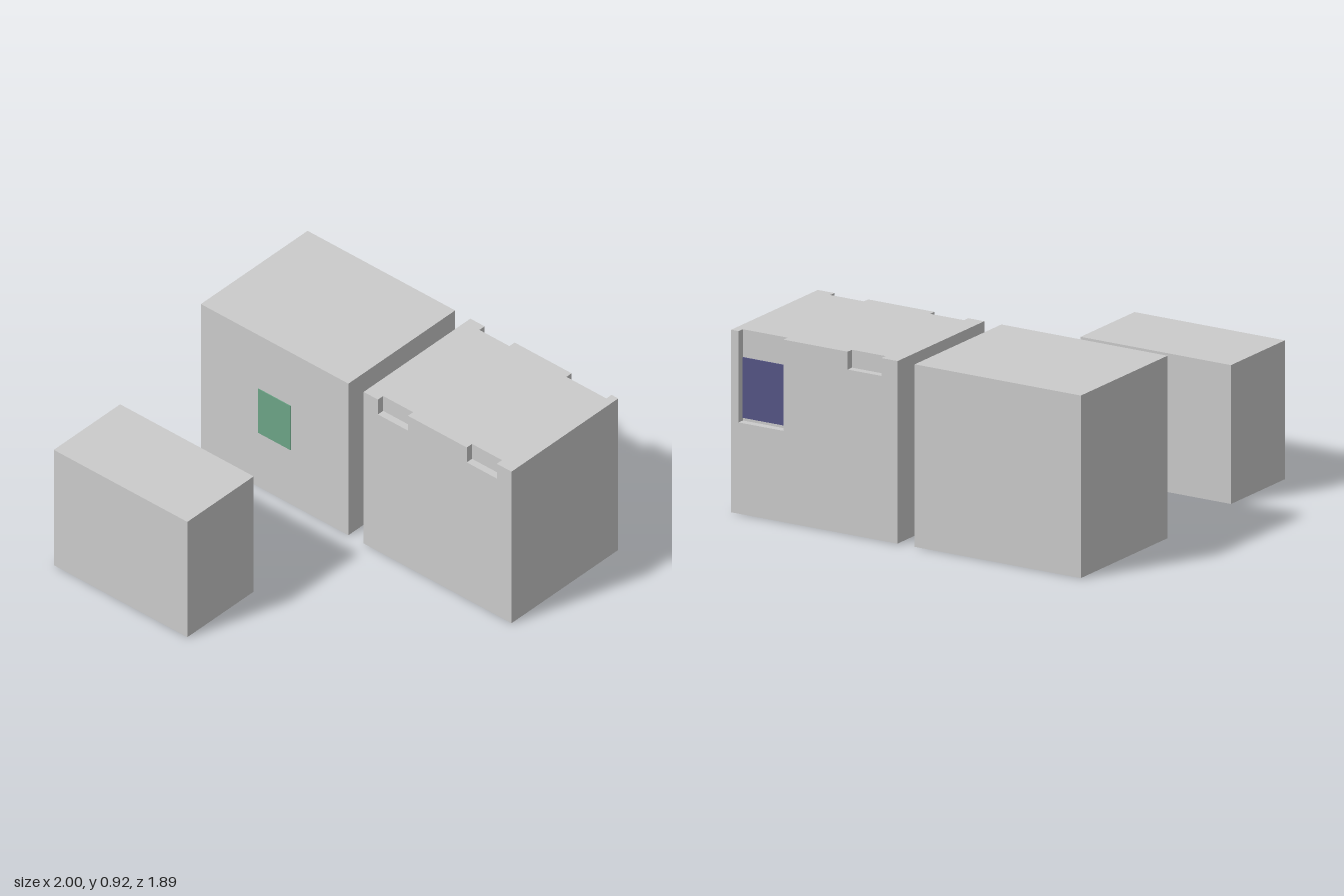
import * as THREE from 'three';

const mat = (color) => new THREE.MeshStandardMaterial({ color, flatShading: true });
const grey = mat(0xcccccc), green = mat(0x6da587), blue = mat(0x555585), brown = mat(0x8a6a38);

// Box given by its min and max on each axis
function block(name, [x0, x1], [y0, y1], [z0, z1], material = grey) {
  const mesh = new THREE.Mesh(new THREE.BoxGeometry(x1 - x0, y1 - y0, z1 - z0), material);
  mesh.position.set((x0 + x1) / 2, (y0 + y1) / 2, (z0 + z1) / 2);
  mesh.name = name;
  return mesh;
}

// Slab whose top edge is cut by notches [x0, x1, floorY]
function notchedSlab(name, [x0, x1], height, [z0, z1], notches) {
  const s = new THREE.Shape();
  s.moveTo(x1, 0);
  s.lineTo(x1, height);
  for (const [a, b, floor] of [...notches].reverse()) {
    s.lineTo(b, height);
    s.lineTo(b, floor);
    s.lineTo(a, floor);
    s.lineTo(a, height);
  }
  s.lineTo(x0, height);
  s.lineTo(x0, 0);
  const mesh = new THREE.Mesh(
    new THREE.ExtrudeGeometry(s, { depth: z1 - z0, bevelEnabled: false }), grey);
  mesh.position.z = z0;
  mesh.name = name;
  return mesh;
}

export function createModel() {
  const model = new THREE.Group();
  model.name = 'cabinetSet';
  const H = 0.92, zBack = -0.947, zFront = -0.172, zMax = 0.947;

  // Low cabinet standing in front
  model.add(block('lowCabinet', [-0.955, -0.095], [0, 0.7], [0.465, zMax]));

  // Plain tall cabinet with a front plate and a side plate
  const plain = new THREE.Group();
  plain.name = 'plainCabinet';
  plain.add(
    block('plainBody', [-1, -0.05], [0, H], [zBack, zFront]),
    block('frontPlate', [-0.63, -0.42], [0.33, 0.597], [zFront - 0.01, zFront + 0.004], green),
    block('sidePlate', [-0.06, -0.046], [0.36, 0.56], [-0.69, -0.43], green));
  model.add(plain);

  // Notched cabinet: front slab, solid core and back slab
  const notched = new THREE.Group();
  notched.name = 'notchedCabinet';
  const xs = [0.048, 1], depth = 0.038;
  const handle = [0.14, 0.333, 0.83];
  notched.add(
    notchedSlab('frontSlab', xs, H, [zFront - depth, zFront], [handle, [0.712, 0.905, 0.83]]),
    block('core', xs, [0, H], [zBack + depth, zFront - depth]),
    notchedSlab('backSlab', xs, H, [zBack, zBack + depth], [handle, [0.7, 0.957, 0.46]]),
    block('backPanel', [0.702, 0.955], [0.475, 0.78], [zBack + depth - 0.005, zBack + depth + 0.01], blue),
    block('sidePlate', [0.044, 0.058], [0.36, 0.56], [-0.69, -0.43], green),
    block('bottomPlate', [0.055, 0.57], [-0.002, 0.01], [-0.45, zFront - 0.005], brown));

  // Row of thin slats under the notched cabinet
  for (let i = 0; i < 10; i++) {
    const z = -0.85 + i * 0.065;
    notched.add(block('bottomSlat', [0.66, 0.95], [-0.002, 0.01], [z, z + 0.015], blue));
  }
  model.add(notched);
  return model;
}
